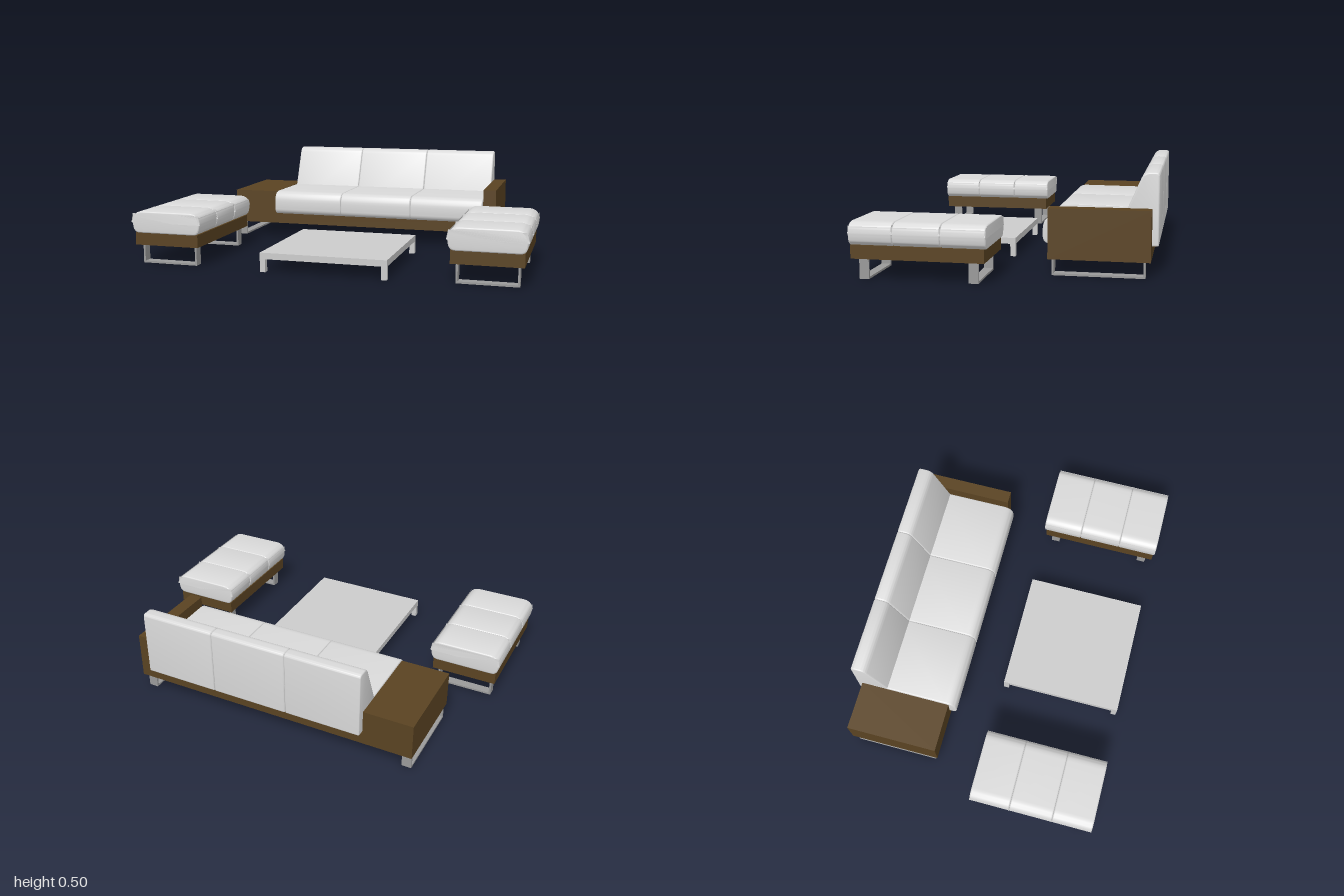
import * as THREE from 'three';
import { toCreasedNormals } from 'three/addons/utils/BufferGeometryUtils.js';

const paint = (name, color) => {
  const m = new THREE.MeshStandardMaterial({ color });
  m.name = name;
  return m;
};

// Polygon whose corners [x, y, radius] are rounded off
function roundedShape(points) {
  const shape = new THREE.Shape();
  points.forEach(([x, y, r], i) => {
    const corner = new THREE.Vector2(x, y);
    const toward = ([px, py]) =>
      new THREE.Vector2(px, py).sub(corner).setLength(r).add(corner);
    const a = toward(points[(i + points.length - 1) % points.length]);
    const b = toward(points[(i + 1) % points.length]);
    if (i === 0) shape.moveTo(a.x, a.y);
    else shape.lineTo(a.x, a.y);
    shape.quadraticCurveTo(x, y, b.x, b.y);
  });
  shape.closePath();
  return shape;
}

// One padded section, extruded from start to end with soft ends
function padGeometry(shape, start, end) {
  const bevel = 0.007;
  const geo = new THREE.ExtrudeGeometry(shape, {
    depth: end - start - 2 * bevel, curveSegments: 8,
    bevelSize: bevel, bevelThickness: bevel, bevelOffset: -bevel, bevelSegments: 3,
  });
  geo.translate(0, 0, start + bevel);
  return toCreasedNormals(geo, 0.7);
}

// Flat bar bent into a U, standing on y = 0
function sledGeometry(halfLength, height, width) {
  const t = 0.01, h = halfLength;
  const shape = new THREE.Shape([
    [-h, 0], [h, 0], [h, height], [h - t, height],
    [h - t, t], [-h + t, t], [-h + t, height], [-h, height],
  ].map(([x, y]) => new THREE.Vector2(x, y)));
  const geo = new THREE.ExtrudeGeometry(shape, { depth: width, bevelEnabled: false });
  return geo.translate(0, 0, -width / 2);
}

export function createModel() {
  const wood = paint('dark wood', 0x5a4322);
  const fabric = paint('light upholstery', 0xdadada);
  const metal = paint('brushed metal', 0x9a9a9a);
  const tableGrey = paint('table grey', 0xcccccc);

  const model = new THREE.Group();
  model.name = 'loungeSet';

  const add = (parent, name, geo, material) => {
    const mesh = new THREE.Mesh(geo, material);
    mesh.name = name;
    parent.add(mesh);
    return mesh;
  };
  const box = (parent, name, material, x0, x1, y0, y1, z0, z1) => {
    const mesh = add(parent, name, new THREE.BoxGeometry(x1 - x0, y1 - y0, z1 - z0), material);
    mesh.position.set((x0 + x1) / 2, (y0 + y1) / 2, (z0 + z1) / 2);
    return mesh;
  };
  const group = (name) => {
    const g = new THREE.Group();
    g.name = name;
    model.add(g);
    return g;
  };

  // Sofa: low wooden platform, side table on the right, arm on the left
  const sofa = group('sofa');
  box(sofa, 'platform', wood, -0.555, 0.675, 0.08, 0.14, -0.675, -0.19);
  box(sofa, 'backLedge', wood, -0.54, 0.66, 0.14, 0.152, -0.695, -0.3);
  box(sofa, 'sideTable', wood, -0.813, -0.555, 0.08, 0.27, -0.675, -0.19);
  box(sofa, 'arm', wood, 0.675, 0.745, 0.08, 0.325, -0.675, -0.187);

  // Sofa cushions: profiles drawn in (-z, y), run along x
  const seatProfile = roundedShape([
    [0.15, 0.14, 0.04], [0.58, 0.14, 0.01], [0.58, 0.27, 0.01], [0.152, 0.274, 0.06],
  ]);
  const backProfile = roundedShape([
    [0.48, 0.145, 0.01], [0.707, 0.145, 0.006], [0.707, 0.495, 0.02], [0.632, 0.495, 0.03],
  ]);
  const seams = [-0.552, -0.147, 0.265, 0.673];
  for (let i = 0; i < 3; i++) {
    add(sofa, 'seatCushion', padGeometry(seatProfile, seams[i], seams[i + 1]), fabric)
      .rotation.y = Math.PI / 2;
    add(sofa, 'backCushion', padGeometry(backProfile, seams[i], seams[i + 1]), fabric)
      .rotation.y = Math.PI / 2;
  }

  // Sofa sled legs
  const sofaSled = sledGeometry(0.2225, 0.08, 0.05);
  for (const x of [-0.78, 0.705]) {
    const leg = add(sofa, 'sofaLeg', sofaSled, metal);
    leg.rotation.y = Math.PI / 2;
    leg.position.set(x, 0, -0.4275);
  }

  // Two matching ottomans
  const ottomanProfile = roundedShape([
    [-0.178, 0.163, 0.03], [0.178, 0.163, 0.03], [0.19, 0.225, 0.03],
    [0.18, 0.275, 0.05], [-0.18, 0.275, 0.05], [-0.19, 0.225, 0.03],
  ]);
  const ottomanSeams = [0.05, 0.265, 0.493, 0.706];
  const ottomanSled = sledGeometry(0.15, 0.1, 0.047);
  for (const side of [-1, 1]) {
    const ottoman = group(side < 0 ? 'rightOttoman' : 'leftOttoman');
    ottoman.position.x = side * 0.815;
    box(ottoman, 'ottomanBase', wood, -0.173, 0.173, 0.1, 0.165, 0.06, 0.7);
    for (let i = 0; i < 3; i++) {
      add(ottoman, 'ottomanCushion',
        padGeometry(ottomanProfile, ottomanSeams[i], ottomanSeams[i + 1]), fabric);
    }
    for (const z of [0.117, 0.643]) {
      add(ottoman, 'ottomanLeg', ottomanSled, metal).position.z = z;
    }
  }

  // Coffee table: thin top, rail frame and four square legs
  const table = group('coffeeTable');
  const [x0, x1, z0, z1, w] = [-0.305, 0.342, 0.052, 0.703, 0.028];
  box(table, 'tableTop', tableGrey, x0, x1, 0.088, 0.098, z0, z1);
  for (const z of [z0, z1 - w]) {
    box(table, 'tableRail', tableGrey, x0 + w, x1 - w, 0.066, 0.088, z, z + w);
    for (const x of [x0, x1 - w]) {
      box(table, 'tableLeg', tableGrey, x, x + w, 0, 0.088, z, z + w);
    }
  }
  for (const x of [x0, x1 - w]) {
    box(table, 'tableRail', tableGrey, x, x + w, 0.066, 0.088, z0 + w, z1 - w);
  }

  return model;
}
